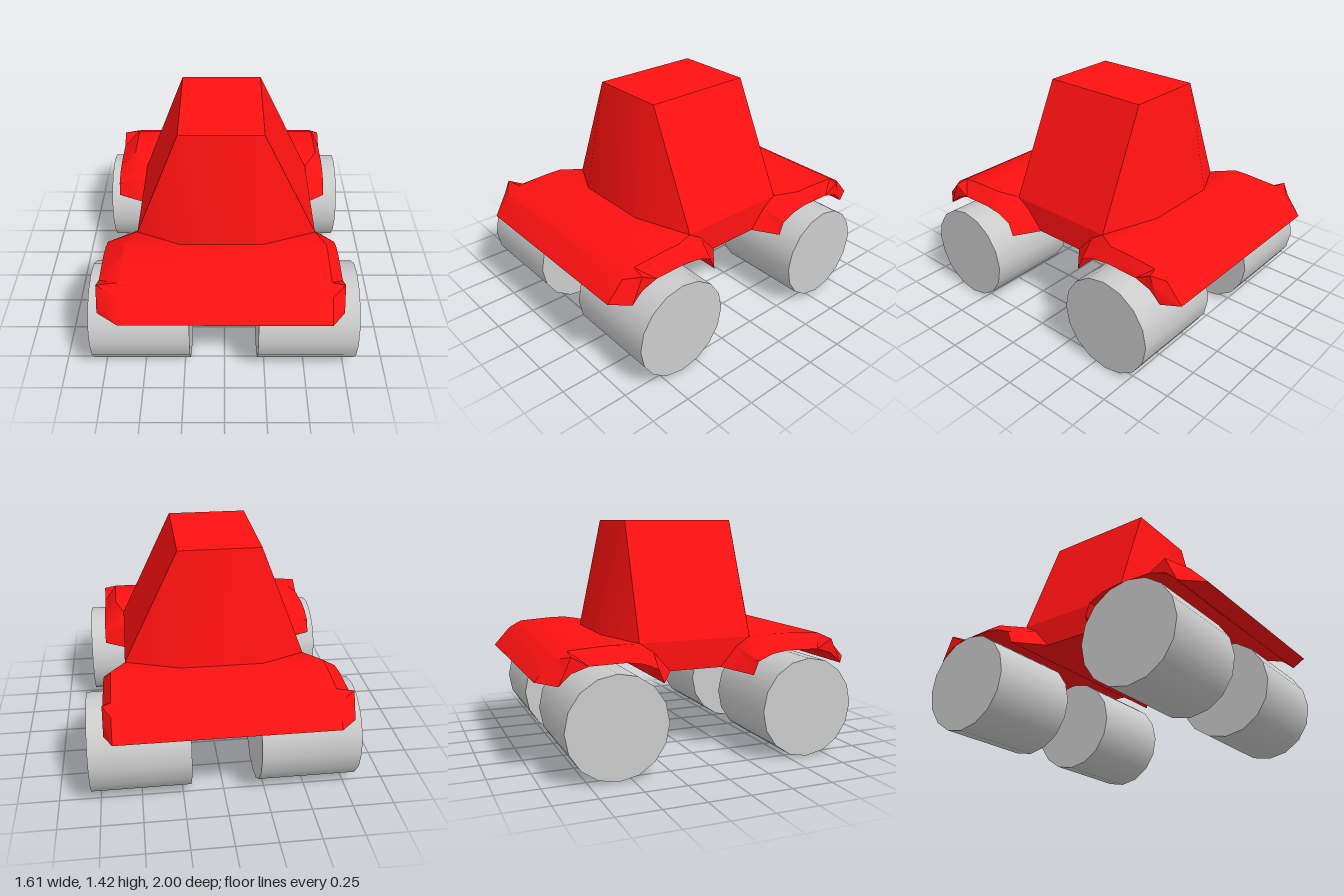
import * as THREE from 'three';
import { toCreasedNormals } from 'three/addons/utils/BufferGeometryUtils.js';

// Collects triangles, each turned to face along a hint direction
class Shell {
  constructor() { this.pos = []; }
  tri(a, b, c, hint) {
    const n = b.clone().sub(a).cross(c.clone().sub(a));
    if (n.length() < 1e-6) return;
    for (const p of n.dot(hint) < 0 ? [a, c, b] : [a, b, c]) this.pos.push(p.x, p.y, p.z);
  }
  fan(pts, hint) {
    for (let i = 1; i < pts.length - 1; i++) this.tri(pts[0], pts[i], pts[i + 1], hint);
  }
  mesh(name, material) {
    const g = new THREE.BufferGeometry();
    g.setAttribute('position', new THREE.Float32BufferAttribute(this.pos, 3));
    const m = new THREE.Mesh(toCreasedNormals(g, 0.55), material);
    m.name = name;
    return m;
  }
}

const v = (x, y, z) => new THREE.Vector3(x, y, z);

// Fender profiles as [z, y], from the bumper end to the sill end
const OUTER = [[1, .557], [.895, .674], [.815, .717], [.6, .73], [.5, .73], [.36, .713], [.273, .657], [.166, .535]];
const INNER = [[.89, .545], [.855, .58], [.82, .61], [.72, .643], [.51, .647], [.407, .632], [.316, .594], [.284, .514]];
// Outer rim of the flare: the inner profile with a raised corner flap
const RIM = INNER.map((p, i) => (i === 1 ? [.855, .622] : i === 2 ? [.82, .70] : p));
const WAIST = { '-1': -.545, '1': .565 };
const FLARE = { '-1': -.745, '1': .70 };

function fender(end, hood, material) {
  const s = new Shell();
  const at = (x, [z, y]) => v(x, y, z * end);
  const hoodX = (side, i) => (i < 5 ? hood[side] : WAIST[side]);
  const up = v(0, 1, 0), down = v(0, -1, 0);
  for (let i = 0; i < OUTER.length - 1; i++) {
    const [z, y] = OUTER[i], [z2, y2] = OUTER[i + 1];
    const out = v(0, (y + y2) / 2 - .3, ((z + z2) / 2 - .6) * end);
    // top skin and wheel arch
    s.fan([at(hoodX(-1, i), OUTER[i]), at(hoodX(1, i), OUTER[i]),
      at(hoodX(1, i + 1), OUTER[i + 1]), at(hoodX(-1, i + 1), OUTER[i + 1])], out);
    s.fan([at(FLARE[-1], INNER[i]), at(FLARE[1], INNER[i]),
      at(FLARE[1], INNER[i + 1]), at(FLARE[-1], INNER[i + 1])], out.clone().negate());
    // flares and their flaps
    for (const side of [-1, 1]) {
      const x = FLARE[side], dir = v(side, 0, 0);
      s.fan([at(hoodX(side, i), OUTER[i]), at(x, RIM[i]), at(x, RIM[i + 1]),
        at(hoodX(side, i + 1), OUTER[i + 1])], dir.clone().addScaledVector(up, .3));
      s.fan([at(x, INNER[i]), at(x, RIM[i]), at(x, RIM[i + 1]), at(x, INNER[i + 1])], dir);
    }
  }
  // lower lips at both ends of the arch
  for (const i of [0, OUTER.length - 1]) {
    s.fan([at(hoodX(-1, i), OUTER[i]), at(hoodX(1, i), OUTER[i]),
      at(FLARE[1], INNER[i]), at(FLARE[-1], INNER[i])], down);
  }
  return s.mesh(end > 0 ? 'frontFender' : 'rearFender', material);
}

function cabin(material) {
  const s = new Shell();
  const ROOF = { '-1': -.27, '1': .23 }, top = 1.42;
  const roof = (side, end) => v(ROOF[side], top, .35 * end);
  const foot = (side, end) => v(ROOF[side], .73, .5 * end);
  const hip = (side, end) => v(WAIST[side], .713, .36 * end);
  s.fan([roof(-1, 1), roof(1, 1), roof(1, -1), roof(-1, -1)], v(0, 1, 0));
  for (const end of [1, -1]) {
    s.fan([roof(-1, end), roof(1, end), foot(1, end), foot(-1, end)], v(0, 0, end));
    for (const side of [-1, 1]) s.tri(roof(side, end), foot(side, end), hip(side, end), v(side, 0, end));
  }
  for (const side of [-1, 1]) {
    s.fan([roof(side, 1), roof(side, -1), hip(side, -1), hip(side, 1)], v(side, 0, 0));
  }
  return s.mesh('cabin', material);
}

function sills(material) {
  const s = new Shell();
  const low = OUTER.slice(5);
  // side walls between the fenders
  for (const side of [-1, 1]) {
    const front = low.map(([z, y]) => v(WAIST[side], y, z));
    const back = low.map(([z, y]) => v(WAIST[side], y, -z)).reverse();
    s.fan([...front, ...back], v(side, 0, 0));
  }
  // floor
  const [z, y] = low[2];
  s.fan([v(WAIST[-1], y, z), v(WAIST[1], y, z), v(WAIST[1], y, -z), v(WAIST[-1], y, -z)], v(0, -1, 0));
  return s.mesh('sillsAndFloor', material);
}

export function createModel() {
  const model = new THREE.Group();
  const red = new THREE.MeshStandardMaterial({ color: 0xff1111, side: THREE.DoubleSide });
  const grey = new THREE.MeshStandardMaterial({ color: 0xcccccc });

  const body = new THREE.Group();
  body.name = 'body';
  body.add(
    fender(1, { '-1': -.61, '1': .62 }, red),
    fender(-1, { '-1': -.64, '1': .65 }, red),
    cabin(red),
    sills(red),
  );
  model.add(body);

  // wide drum wheels
  const drum = new THREE.CylinderGeometry(.302, .302, .6, 16).rotateZ(Math.PI / 2);
  for (const [end, z] of [['front', .62], ['rear', -.58]]) {
    for (const [side, x] of [['Left', .503], ['Right', -.51]]) {
      const wheel = new THREE.Mesh(drum, grey);
      wheel.name = `${end}${side}Wheel`;
      wheel.position.set(x, .302, z);
      model.add(wheel);
    }
  }
  return model;
}
